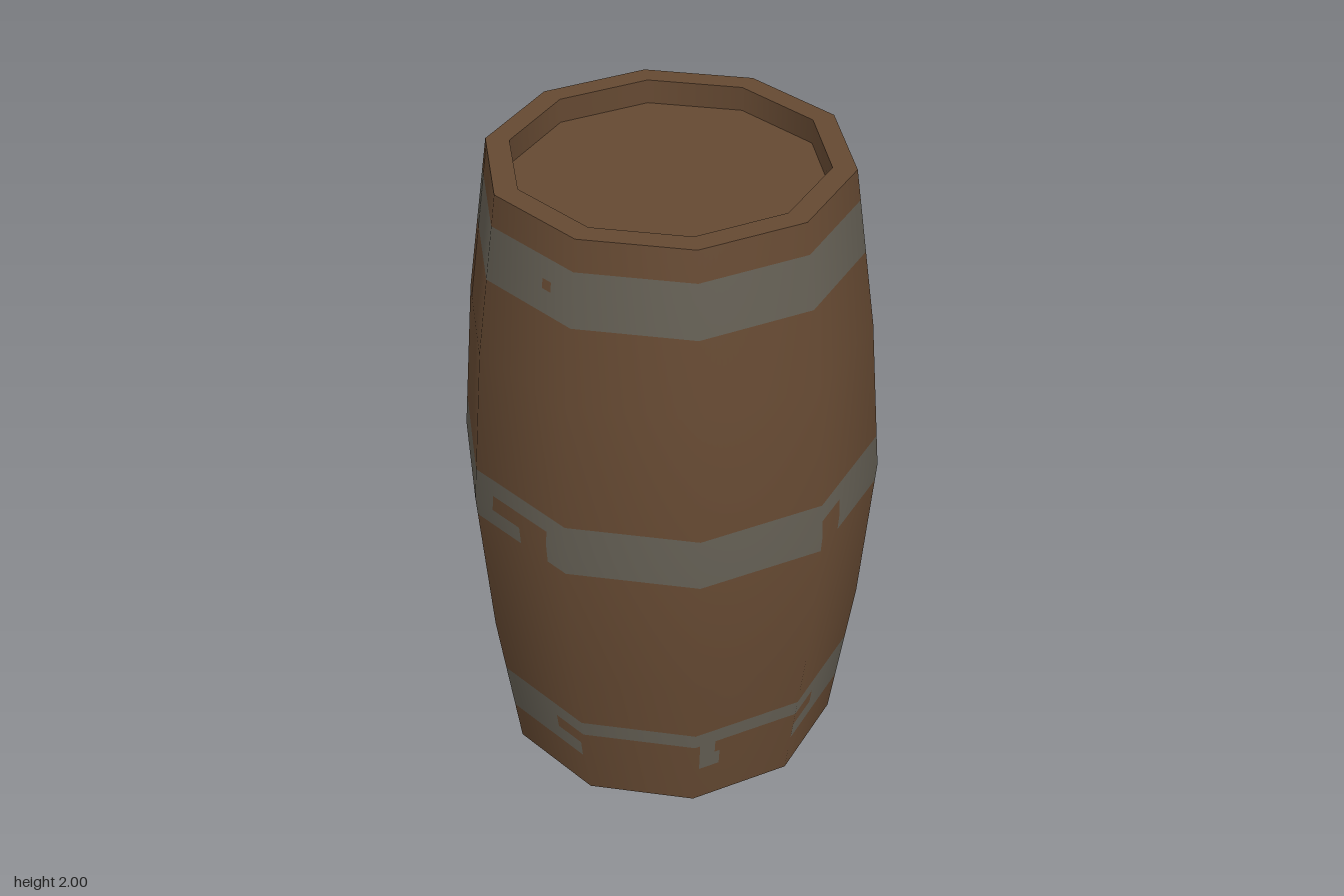
import * as THREE from 'three';

const SIDES = 10, COLS = 20; // facets around, columns per facet

// Barrel bulge: height, corner radius, outward tilt of the normal
const PROFILE = [[0, 0.53, -0.15], [0.5, 0.6, -0.11], [1, 0.64, 0], [1.5, 0.6, 0.11], [2, 0.53, 0.15]];
const ROWS = [0, 0.14, 0.2, 0.25, 0.305, 0.5, 0.94, 1, 1.05, 1.105, 1.5, 1.74, 1.78, 1.81, 1.84, 1.905, 2];
const HOOPS = [[0.14, 0.305], [0.94, 1.105], [1.74, 1.905]];

// Worn gaps in the hoops: facet from, facet to, bottom, top
const WORN = [
  [2.2, 2.8, 1, 1.05], [2.2, 2.5, 0.94, 1.05], // middle hoop
  [9.7, 10, 0.94, 1.05], [6.9, 7.0, 0.94, 1.05], [7.1, 7.3, 0.94, 1.05], [7.0, 7.1, 1, 1.05],
  [0.97, 2.33, 0.2, 0.25], [0.97, 2.04, 0.14, 0.2], // lower hoop
  [0, 0.73, 0.14, 0.25], [0.73, 0.8, 0.2, 0.25], [9.67, 10, 0.2, 0.25],
  [8.7, 8.8, 0.2, 0.25], [7.1, 7.9, 0.2, 0.25], [7.2, 7.6, 0.14, 0.2],
  [4.95, 6.04, 0.2, 0.25], [5.05, 5.7, 0.14, 0.2],
  [5.55, 5.8, 1.74, 1.84], [5.8, 5.95, 1.81, 1.84], [5.95, 6.15, 1.74, 1.84], [6.15, 6.28, 1.74, 1.81], // upper hoop
  [2.25, 2.35, 1.81, 1.84],
];

const isHoop = (u, y) =>
  HOOPS.some(([a, b]) => y > a && y < b) &&
  !WORN.some(([u0, u1, y0, y1]) => u > u0 && u < u1 && y > y0 && y < y1);

// Point and smooth normal on the faceted shell
function shellPoint(u, y) {
  const k = Math.min(3, Math.floor(y / 0.5)), t = y / 0.5 - k;
  const r = THREE.MathUtils.lerp(PROFILE[k][1], PROFILE[k + 1][1], t);
  const tilt = THREE.MathUtils.lerp(PROFILE[k][2], PROFILE[k + 1][2], t);
  const corner = (i) => new THREE.Vector3(Math.cos((i * 2 * Math.PI) / SIDES), 0, Math.sin((i * 2 * Math.PI) / SIDES));
  const f = Math.floor(u);
  const flat = corner(f).lerp(corner(f + 1), u - f);
  const n = flat.clone().normalize().setY(tilt).normalize();
  return { p: flat.multiplyScalar(r).setY(y), n };
}

// Shell cells that are hoop (true) or stave (false)
function shellGeometry(hoop) {
  const pos = [], nor = [];
  for (let j = 0; j < ROWS.length - 1; j++) {
    for (let i = 0; i < SIDES * COLS; i++) {
      const y0 = ROWS[j], y1 = ROWS[j + 1], u0 = i / COLS, u1 = (i + 1) / COLS;
      if (isHoop((u0 + u1) / 2, (y0 + y1) / 2) !== hoop) continue;
      const a = shellPoint(u0, y0), b = shellPoint(u0, y1), c = shellPoint(u1, y1), d = shellPoint(u1, y0);
      for (const v of [a, b, d, b, c, d]) {
        pos.push(v.p.x, v.p.y, v.p.z);
        nor.push(v.n.x, v.n.y, v.n.z);
      }
    }
  }
  const g = new THREE.BufferGeometry();
  g.setAttribute('position', new THREE.Float32BufferAttribute(pos, 3));
  g.setAttribute('normal', new THREE.Float32BufferAttribute(nor, 3));
  return g;
}

export function createModel() {
  const group = new THREE.Group();
  group.name = 'barrel';
  const wood = new THREE.MeshStandardMaterial({ color: 0x654932, side: THREE.DoubleSide });
  wood.name = 'brown wood';
  const iron = new THREE.MeshStandardMaterial({ color: 0x645f54, side: THREE.DoubleSide });
  iron.name = 'grey iron';

  const add = (name, geometry, material) => {
    const mesh = new THREE.Mesh(geometry, material);
    mesh.name = name;
    group.add(mesh);
  };

  // Open-bottomed shell
  add('staves', shellGeometry(false), wood);
  add('hoops', shellGeometry(true), iron);

  // Top rim, recess wall and sunken lid
  const depth = 0.075, inner = 0.46;
  add('rim', new THREE.RingGeometry(inner, 0.53, SIDES).rotateX(-Math.PI / 2).translate(0, 2, 0), wood);
  add('recessWall', new THREE.CylinderGeometry(inner, inner, depth, SIDES, 1, true)
    .rotateY(Math.PI / 2).translate(0, 2 - depth / 2, 0), wood);
  add('lid', new THREE.CircleGeometry(inner, SIDES).rotateX(-Math.PI / 2).translate(0, 2 - depth, 0), wood);

  return group;
}
